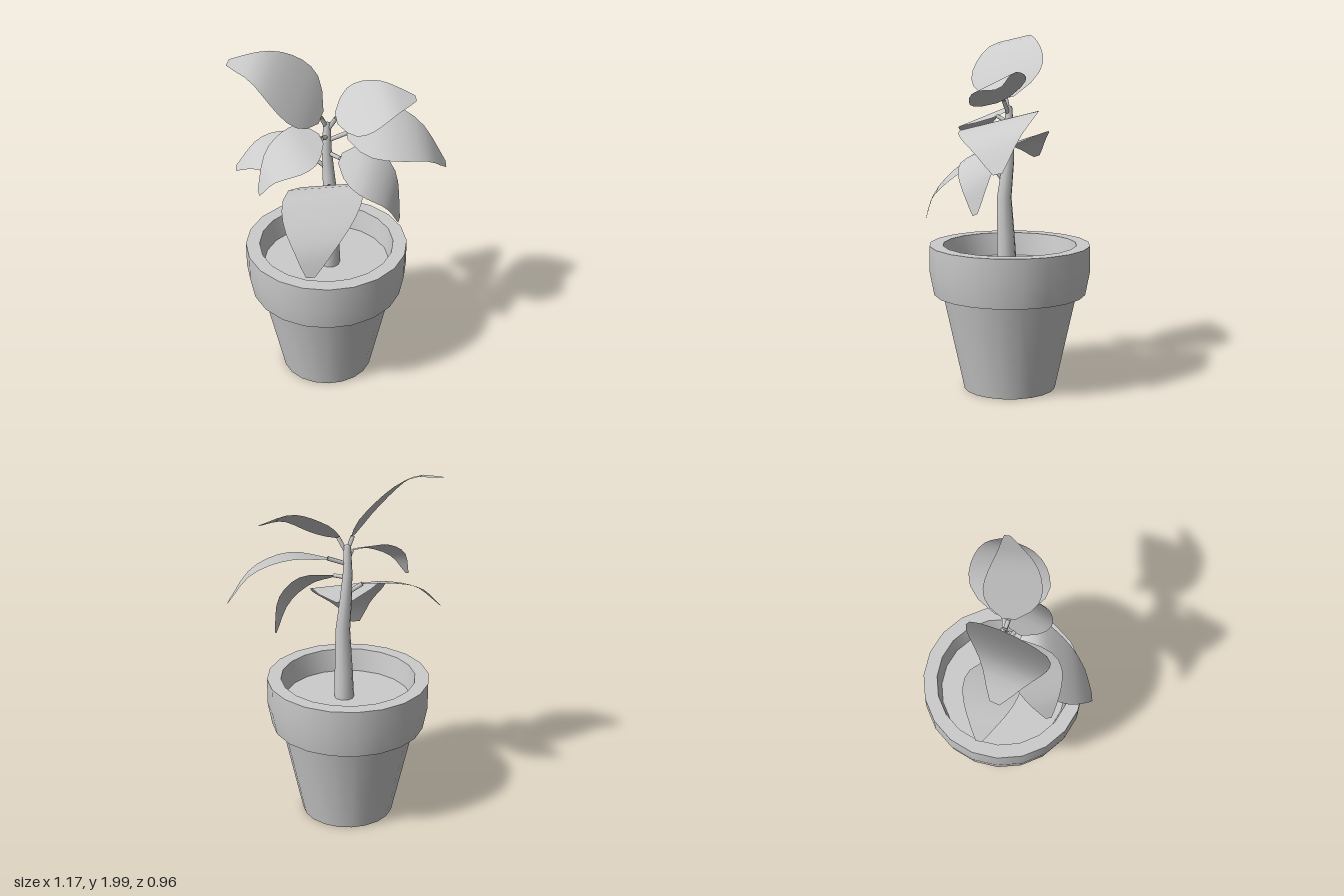
import * as THREE from 'three';
import { mergeVertices, toCreasedNormals } from 'three/addons/utils/BufferGeometryUtils.js';

const material = new THREE.MeshStandardMaterial({ color: 0xcccccc });
const leafMaterial = new THREE.MeshStandardMaterial({ color: 0xcccccc, side: THREE.DoubleSide });
const vec = (p) => new THREE.Vector3(...p);

function addMesh(parent, name, geometry, mat = material) {
  const mesh = new THREE.Mesh(geometry, mat);
  mesh.name = name;
  parent.add(mesh);
  return mesh;
}

// Surface through a grid of points: rows run along the part, columns across it.
function gridSurface(rows, cols, pointAt) {
  const positions = [], index = [];
  for (let i = 0; i <= rows; i++) {
    for (let j = 0; j <= cols; j++) positions.push(...pointAt(i, j).toArray());
  }
  for (let i = 0; i < rows; i++) {
    for (let j = 0; j < cols; j++) {
      const a = i * (cols + 1) + j, b = a + cols + 1;
      index.push(a, b, a + 1, b, b + 1, a + 1);
    }
  }
  let geometry = new THREE.BufferGeometry();
  geometry.setAttribute('position', new THREE.Float32BufferAttribute(positions, 3));
  geometry.setIndex(index);
  geometry = mergeVertices(geometry, 1e-5);
  geometry.computeVertexNormals();
  return geometry;
}

// Half width of a leaf from base to tip, as a share of its widest point.
const leafProfile = [0.22, 0.68, 0.92, 1, 0.98, 0.9, 0.78, 0.62, 0.45, 0.29, 0.11];

// Each leaf: where its stalk leaves the stem, its midline, and the vector to its edge at the widest point.
const leaves = [
  { name: 'topLeaf', stalk: [-0.07, 1.58, -0.02], edge: [-0.065, -0.05, 0.215],
    mid: [[-0.1, 1.65, 0], [-0.185, 1.77, 0.01], [-0.41, 1.96, 0.015], [-0.58, 1.97, -0.025]] },
  { name: 'upperLeftLeaf', stalk: [-0.06, 1.57, -0.02], edge: [-0.025, 0.075, -0.15],
    mid: [[-0.02, 1.645, 0], [0.1, 1.7, 0.01], [0.25, 1.755, 0.01], [0.405, 1.735, -0.04]] },
  { name: 'middleLeftLeaf', stalk: [-0.06, 1.5, -0.02], edge: [0, 0.055, -0.215],
    mid: [[0.04, 1.537, -0.03], [0.25, 1.55, -0.015], [0.45, 1.475, -0.03], [0.585, 1.31, -0.065]] },
  { name: 'lowerLeftLeaf', stalk: [-0.06, 1.42, -0.02], edge: [0.05, 0.065, -0.13],
    mid: [[0, 1.415, 0.03], [0.15, 1.365, 0.095], [0.27, 1.25, 0.1], [0.322, 1.055, 0.1]] },
  { name: 'frontLeaf', stalk: [-0.06, 1.18, 0], edge: [0.215, -0.005, -0.03],
    mid: [[-0.06, 1.25, 0.05], [-0.08, 1.31, 0.15], [-0.11, 1.235, 0.28], [-0.145, 1.09, 0.425], [-0.17, 0.95, 0.475]] },
  { name: 'backRightLeaf', stalk: [-0.07, 1.33, -0.02], edge: [0, -0.05, 0.148],
    mid: [[-0.15, 1.385, -0.03], [-0.28, 1.4, -0.06], [-0.45, 1.375, -0.09], [-0.57, 1.275, -0.115]] },
  { name: 'middleRightLeaf', stalk: [-0.07, 1.52, -0.02], edge: [0.05, -0.055, 0.135],
    mid: [[-0.1, 1.55, 0.05], [-0.24, 1.535, 0.15], [-0.37, 1.465, 0.2], [-0.435, 1.335, 0.24]] },
];

function createLeaf({ name, stalk, edge, mid }) {
  const group = new THREE.Group();
  group.name = name;
  const midline = new THREE.CatmullRomCurve3(mid.map(vec));
  const rows = leafProfile.length - 1;
  addMesh(group, 'leafBlade', gridSurface(rows, 2, (i, j) =>
    midline.getPointAt(i / rows).addScaledVector(vec(edge), leafProfile[i] * (j - 1))), leafMaterial);
  // Stalk reaching a little way under the blade
  const path = new THREE.LineCurve3(vec(stalk), vec(mid[0]));
  addMesh(group, 'leafStalk', new THREE.TubeGeometry(path, 1, 0.012, 6), leafMaterial);
  return group;
}

export function createModel() {
  const model = new THREE.Group();
  model.name = 'pottedPlant';

  // Pot with a heavy rim
  const pot = new THREE.Group();
  pot.name = 'pot';
  pot.position.set(-0.075, 0, -0.027);
  model.add(pot);
  const outline = [[0, 0], [0.26, 0], [0.38, 0.55], [0.43, 0.55], [0.455, 0.68],
    [0.455, 0.83], [0.378, 0.83], [0.355, 0.69]].map(([r, y]) => new THREE.Vector2(r, y));
  addMesh(pot, 'potShell', toCreasedNormals(new THREE.LatheGeometry(outline, 20), 0.5));

  // Soil
  const soil = addMesh(pot, 'soil', new THREE.CircleGeometry(0.36, 20));
  soil.rotation.x = -Math.PI / 2;
  soil.position.y = 0.7;

  // Tapering stem, as rings of [x, y, z, radius]
  const rings = [[-0.055, 0.69, -0.015, 0.056], [-0.052, 0.85, -0.01, 0.051], [-0.047, 1.1, 0, 0.041],
    [-0.062, 1.3, -0.02, 0.033], [-0.07, 1.45, -0.025, 0.026], [-0.068, 1.6, -0.022, 0.02], [-0.068, 1.612, -0.022, 0.002]];
  addMesh(model, 'stem', gridSurface(rings.length - 1, 10, (i, j) => {
    const [x, y, z, r] = rings[i], angle = (j % 10) * Math.PI / 5;
    return new THREE.Vector3(x + r * Math.cos(angle), y, z + r * Math.sin(angle));
  }));

  // Leaves
  for (const leaf of leaves) model.add(createLeaf(leaf));
  return model;
}
